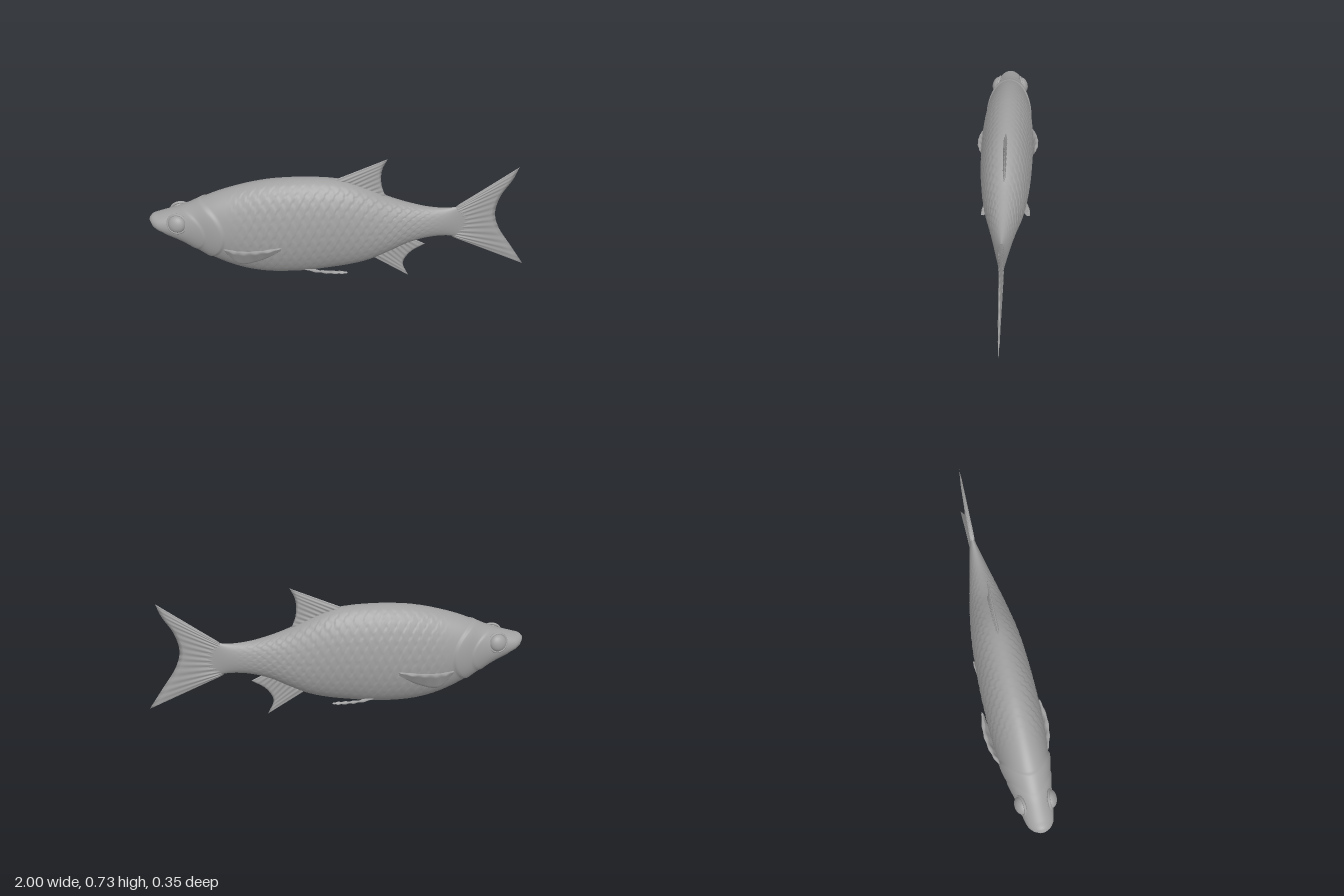
import * as THREE from 'three';

const V = (p) => new THREE.Vector3(p[0], p[1], p[2] || 0);
const smooth = THREE.MathUtils.smoothstep;

// Body stations: x, top, bottom, half width
const stations = [
  [-1.0, 0.412, 0.385, 0.016], [-0.985, 0.428, 0.362, 0.042], [-0.95, 0.438, 0.335, 0.066],
  [-0.85, 0.468, 0.278, 0.086], [-0.75, 0.508, 0.214, 0.104], [-0.65, 0.55, 0.152, 0.12],
  [-0.55, 0.582, 0.105, 0.131], [-0.45, 0.606, 0.077, 0.138], [-0.35, 0.621, 0.065, 0.141],
  [-0.2, 0.627, 0.066, 0.14], [-0.05, 0.618, 0.084, 0.134], [0.05, 0.595, 0.1, 0.126],
  [0.15, 0.552, 0.127, 0.113], [0.25, 0.502, 0.174, 0.096], [0.35, 0.466, 0.225, 0.075],
  [0.45, 0.441, 0.254, 0.054], [0.55, 0.432, 0.262, 0.033], [0.63, 0.442, 0.25, 0.014],
  [0.7, 0.46, 0.225, 0.004],
];

// Smooth interpolation through the stations
function section(x) {
  let i = 0;
  while (i < stations.length - 2 && x > stations[i + 1][0]) i++;
  const at = (k) => stations[Math.min(Math.max(k, 0), stations.length - 1)];
  const [p, a, b, n] = [at(i - 1), at(i), at(i + 1), at(i + 2)];
  const d = b[0] - a[0], t = (x - a[0]) / d;
  return [1, 2, 3].map((k) => {
    const m0 = (b[k] - p[k]) / (b[0] - p[0]) * d, m1 = (n[k] - a[k]) / (n[0] - a[0]) * d;
    const t2 = t * t, t3 = t2 * t;
    return (2 * t3 - 3 * t2 + 1) * a[k] + (t3 - 2 * t2 + t) * m0 + (3 * t2 - 2 * t3) * b[k] + (t3 - t2) * m1;
  });
}

// Overlapping scales, each rising towards its rear edge
function scaleHeight(u, v) {
  const r = 0.78;
  let h = 0;
  for (let cv = Math.floor(v) - 1; cv <= Math.floor(v) + 2; cv++) {
    const shift = (cv & 1) * 0.5;
    for (let k = -1; k <= 2; k++) {
      const du = u - (Math.floor(u - shift) + k + shift), dv = (v - cv) * 0.75;
      if (du * du + dv * dv < r * r) h = Math.max(h, (du + r) / (2 * r));
    }
  }
  return h;
}

// Raised plate ending in a sharp rear rim, for the gill cover and cheek
function plate(x, y, cx, cy, rx, ry) {
  const d = Math.hypot((x - cx) / rx, (y - cy) / ry);
  return x < cx ? 0 : smooth(d, 0.3, 0.92) * (1 - smooth(d, 0.94, 1.04)) * smooth(x, cx, cx + rx * 0.6);
}

function relief(x, y, e) {
  const area = smooth(x, -0.62, -0.45) * (1 - smooth(x, 0.3, 0.58));
  const flank = smooth(e, -1.2, 0.1) * (1 - smooth(e, 1.0, 1.4));
  let h = area * (0.15 + 0.85 * flank) * 0.008 * (scaleHeight(x / 0.05, e * 5.2) - 0.7);
  h += 0.008 * plate(x, y, -0.8, 0.35, 0.19, 0.18);
  h += 0.004 * plate(x, y, -0.86, 0.35, 0.15, 0.13);
  // Mouth slit
  const line = 0.392 + (x + 1) * -0.75;
  h -= 0.01 * Math.exp(-(((y - line) / 0.008) ** 2)) * (1 - smooth(x, -0.945, -0.915));
  return h;
}

// Triangles of a grid whose rings are closed
function ringGeometry(points, rings, around) {
  const index = [];
  for (let i = 0; i < rings - 1; i++) for (let j = 0; j < around; j++) {
    const k = (j + 1) % around, a = i * around, b = a + around;
    index.push(a + j, b + j, b + k, a + j, b + k, a + k);
  }
  const g = new THREE.BufferGeometry();
  g.setAttribute('position', new THREE.Float32BufferAttribute(points, 3));
  g.setIndex(index);
  g.computeVertexNormals();
  return g;
}

function bodyGeometry() {
  const n = 300, m = 144, pts = [];
  for (let i = -1; i <= n + 1; i++) {
    const s = Math.min(Math.max(i / n, 0), 1);
    const x = -1 + 1.7 * (s < 0.1 ? s * (0.4 + 6 * s) : s);
    const [top, bottom, w] = section(x);
    const mid = (top + bottom) / 2, hh = (top - bottom) / 2, cap = i < 0 || i > n ? 0 : 1;
    for (let j = 0; j < m; j++) {
      const a = j / m * Math.PI * 2, c = Math.cos(a), sn = Math.sin(a);
      const y = mid + hh * sn;
      const len = Math.hypot(w * sn, hh * c) || 1;
      const h = relief(x, y, Math.asin(THREE.MathUtils.clamp(sn, -1, 1)));
      pts.push(x, mid + cap * (hh * sn + h * w * sn / len), cap * (w * c + h * hh * c / len));
    }
  }
  return ringGeometry(pts, n + 3, m);
}

// Thin ribbed fin spanning two curves, thickened along a normal
function finGeometry(inner, outer, normal, thick, rays) {
  const A = new THREE.CatmullRomCurve3(inner.map(V)), B = new THREE.CatmullRomCurve3(outer.map(V));
  const N = V(normal).normalize(), S = 80, T = 12, pts = [];
  for (let i = 0; i <= S; i++) {
    const s = i / S, a = A.getPoint(s), b = B.getPoint(s);
    for (let j = 0; j < 2 * T; j++) {
      const t = j <= T ? j / T : (2 * T - j) / T;
      const edge = Math.sqrt(Math.min(1, 7 * Math.max(0, Math.min(s, 1 - s, t, 1 - t))));
      const rib = 0.8 + 0.2 * Math.cos(s * rays * Math.PI * 2);
      const h = thick * (1 - 0.55 * t) * edge * rib * (j <= T ? 1 : -1);
      const p = a.clone().lerp(b, t).addScaledVector(N, h);
      pts.push(p.x, p.y, p.z);
    }
  }
  return ringGeometry(pts, S + 1, 2 * T);
}

export function createModel() {
  const group = new THREE.Group();
  const grey = new THREE.MeshStandardMaterial({ color: 0xa0a0a0, side: THREE.DoubleSide });
  grey.name = 'matte grey';
  const add = (name, geometry) => {
    const mesh = new THREE.Mesh(geometry, grey);
    mesh.name = name;
    group.add(mesh);
    return mesh;
  };

  add('body', bodyGeometry());

  // Fins on the centre line
  add('dorsalFin', finGeometry(
    [[-0.07, 0.6], [0.08, 0.565], [0.2, 0.5]],
    [[0.235, 0.73], [0.208, 0.665], [0.208, 0.58], [0.235, 0.5]], [0, 0, 1], 0.011, 9));
  add('analFin', finGeometry(
    [[0.14, 0.15], [0.27, 0.21], [0.38, 0.245]],
    [[0.37, 0], [0.338, 0.085], [0.375, 0.155], [0.452, 0.208]], [0, 0, 1], 0.01, 9));
  add('tailFin', finGeometry(
    [[0.61, 0.445], [0.57, 0.4], [0.56, 0.345], [0.57, 0.29], [0.6, 0.247]],
    [[0.915, 0.67], [0.89, 0.6], [0.835, 0.5], [0.815, 0.4], [0.84, 0.31], [0.92, 0.185], [1.0, 0.063]],
    [0, 0, 1], 0.014, 14));

  // Paired fins and eyes
  for (const [side, k] of [['left', 1], ['right', -1]]) {
    const flip = (list) => list.map(([x, y, z]) => [x, y, z * k]);
    add(side + 'PectoralFin', finGeometry(
      flip([[-0.62, 0.277, 0.115], [-0.53, 0.287, 0.155], [-0.43, 0.297, 0.17], [-0.315, 0.303, 0.155]]),
      flip([[-0.61, 0.25, 0.108], [-0.54, 0.18, 0.112], [-0.42, 0.215, 0.132], [-0.32, 0.28, 0.148]]),
      [0, -0.4, 0.9 * k], 0.012, 5));
    add(side + 'PelvicFin', finGeometry(
      flip([[-0.2, 0.105, 0.07], [-0.1, 0.114, 0.112], [-0.02, 0.121, 0.132], [0.03, 0.122, 0.132]]),
      flip([[-0.2, 0.095, 0.055], [-0.12, 0.09, 0.068], [-0.04, 0.1, 0.088], [0.025, 0.115, 0.118]]),
      [0, -0.87, 0.5 * k], 0.01, 5));

    // Eyeball with a raised socket rim
    const ball = add(side + 'Eye', new THREE.SphereGeometry(0.046, 32, 20));
    const rim = add(side + 'EyeSocket', new THREE.TorusGeometry(0.049, 0.007, 10, 40));
    ball.scale.z = 0.65;
    ball.position.set(-0.85, 0.412, 0.075 * k);
    rim.position.set(-0.85, 0.412, 0.074 * k);
    ball.rotation.set(-0.25 * k, -0.15 * k, 0);
    rim.rotation.copy(ball.rotation);
  }
  return group;
}
